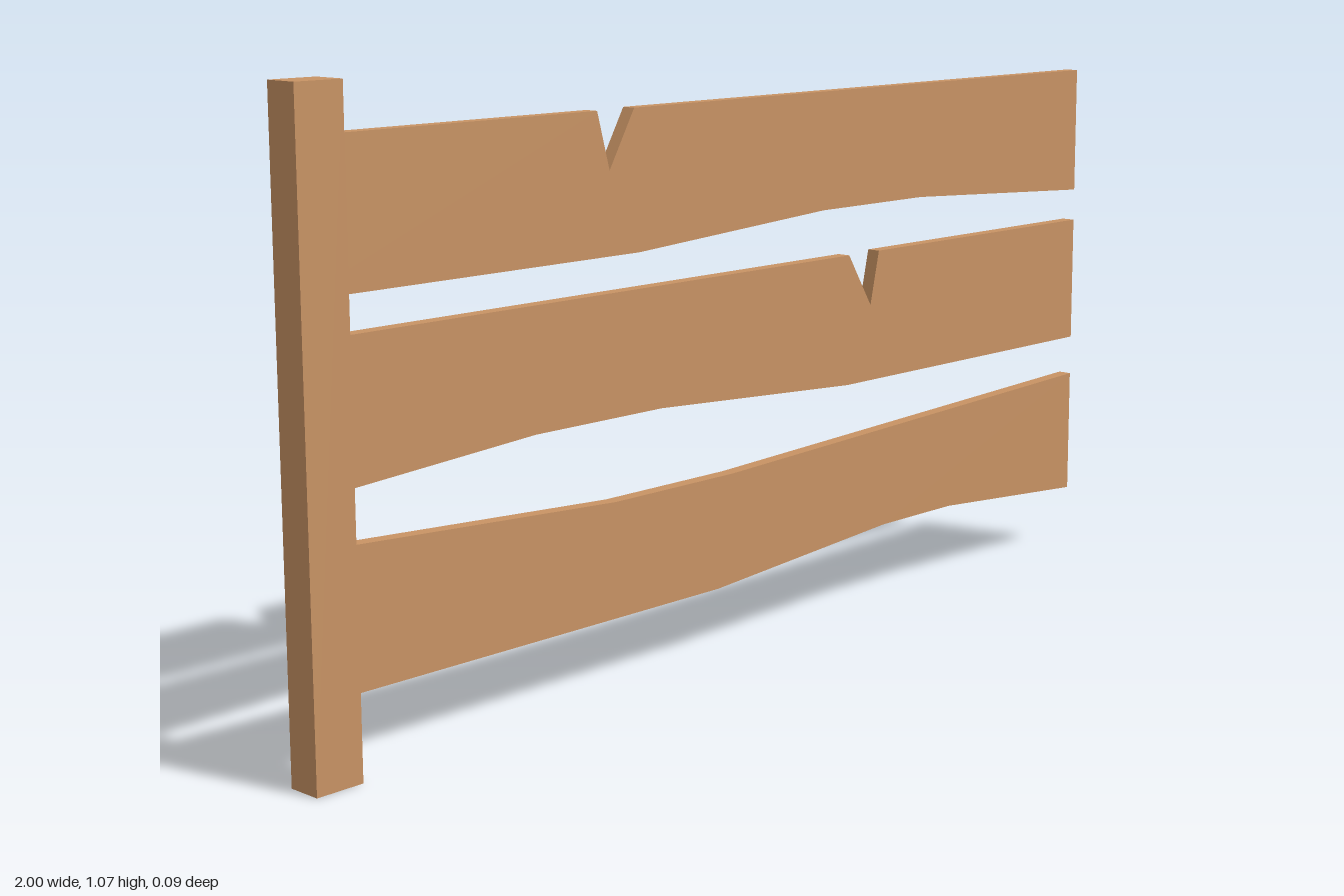
import * as THREE from 'three';

const wood = new THREE.MeshStandardMaterial({ color: 0xc89364 });
wood.name = 'wood';

const LEFT = -0.96, RIGHT = 1;        // plank ends
const BACK = -0.043, JOINT = -0.017;  // plank back, and where planks meet the post
const FRONT = 0.045, POST_HEIGHT = 1.07;

// Plank outlines: inner points of the lower and upper edges, both listed left to right
const planks = [
  {
    name: 'topPlank', low: 0.742, high: 0.985,
    lower: [[-0.25, 0.742], [0.22, 0.77], [0.5, 0.77]],
    upper: [[-0.345, 0.985], [-0.318, 0.885], [-0.26, 0.985]], // splintered notch
  },
  {
    name: 'middlePlank', low: 0.437, high: 0.68,
    lower: [[-0.49, 0.467], [-0.2, 0.467], [0.29, 0.437]],
    upper: [[0.293, 0.68], [0.355, 0.58], [0.378, 0.68]], // splintered notch
  },
  {
    name: 'bottomPlank', low: 0.118, high: 0.36,
    lower: [[-0.06, 0.118], [0.4, 0.15], [0.6, 0.15]],
    upper: [[-0.31, 0.322], [-0.02, 0.322]], // worn hollow
  },
];

function makePlank({ name, low, high, lower, upper }) {
  const outline = [
    [LEFT, low], ...lower, [RIGHT, low],
    [RIGHT, high], ...[...upper].reverse(), [LEFT, high],
  ].map(([x, y]) => new THREE.Vector2(x, y));
  const geometry = new THREE.ExtrudeGeometry(new THREE.Shape(outline), {
    depth: JOINT - BACK,
    bevelEnabled: false,
  });
  const mesh = new THREE.Mesh(geometry, wood);
  mesh.name = name;
  mesh.position.z = BACK;
  return mesh;
}

export function createModel() {
  const fence = new THREE.Group();
  fence.name = 'fence';

  // Square post in front of the planks
  const post = new THREE.Mesh(new THREE.BoxGeometry(0.088, POST_HEIGHT, FRONT - JOINT), wood);
  post.name = 'post';
  post.position.set(-0.956, POST_HEIGHT / 2, (FRONT + JOINT) / 2);
  fence.add(post);

  for (const plank of planks) fence.add(makePlank(plank));
  return fence;
}
